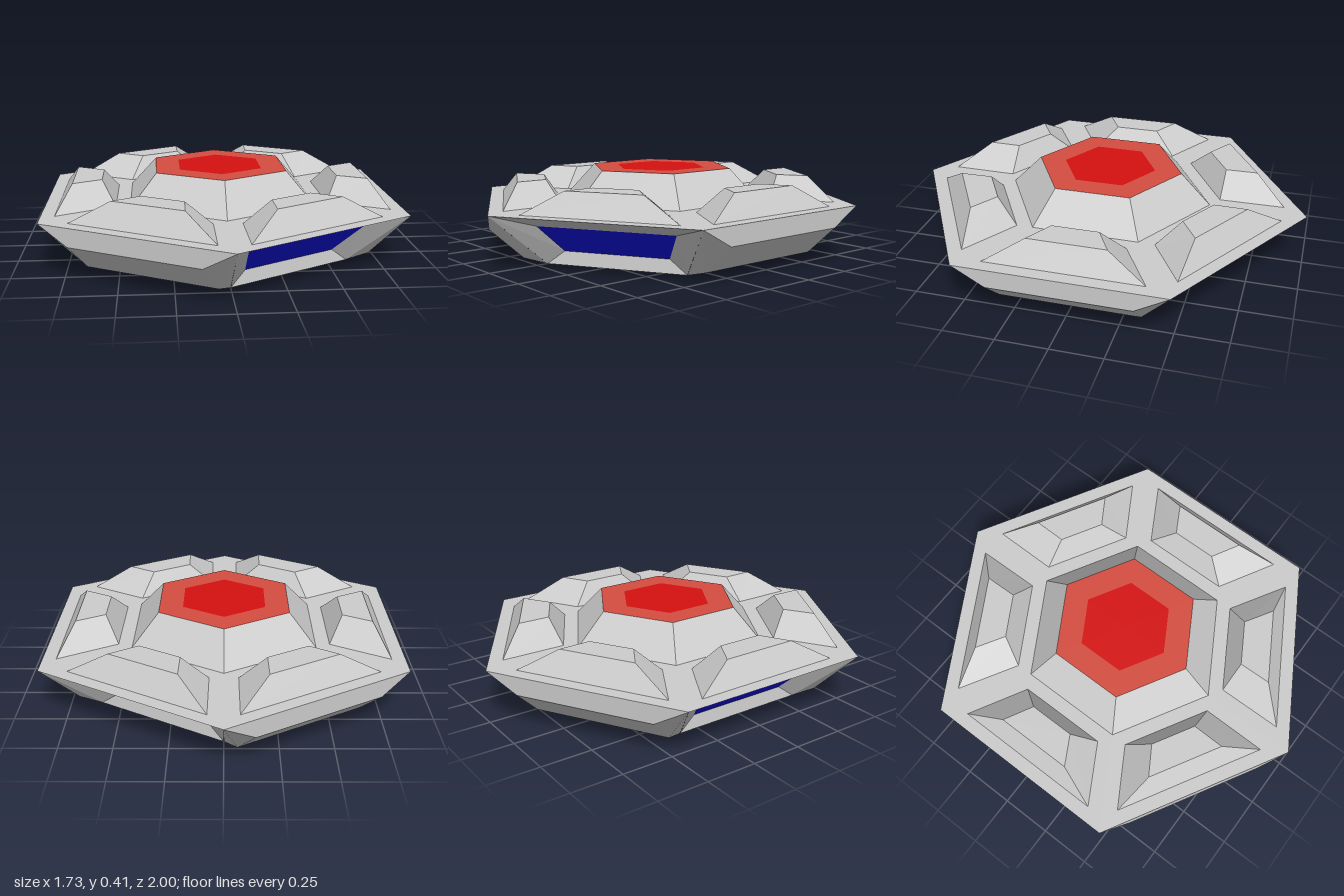
import * as THREE from 'three';

const makeMaterial = (color) => new THREE.MeshStandardMaterial({ color, flatShading: true });

// Flat-shaded geometry from convex polygons, each a counter-clockwise list of points
function polygons(faces) {
  const pos = [];
  for (const f of faces)
    for (let i = 1; i < f.length - 1; i++) pos.push(...f[0], ...f[i], ...f[i + 1]);
  const geo = new THREE.BufferGeometry();
  geo.setAttribute('position', new THREE.Float32BufferAttribute(pos, 3));
  geo.computeVertexNormals();
  return geo;
}

// Quads joining two loops of equal length
const bridge = (a, b) => a.map((p, i) => {
  const j = (i + 1) % a.length;
  return [p, a[j], b[j], b[i]];
});

// Four corners of a side panel: x points outward, z runs along the side
const panel = (dLow, yLow, tLow, dHigh, yHigh, tHigh) => [
  [dLow, yLow, tLow], [dLow, yLow, -tLow], [dHigh, yHigh, -tHigh], [dHigh, yHigh, tHigh],
];

export function createModel() {
  const model = new THREE.Group();
  const grey = makeMaterial(0xcccccc);
  const blue = makeMaterial(0x1010e0);
  const red = makeMaterial(0xd51010);
  const paleRed = makeMaterial(0xd54d40);

  const add = (name, geo, mat, parent = model) => {
    const mesh = new THREE.Mesh(geo, mat);
    mesh.name = name;
    parent.add(mesh);
    return mesh;
  };

  const RIM_Y = 0.26, PAD_Y = 0.37, TOP_Y = 0.415;
  const flatHex = (geo, y, up = 1) => geo.rotateX(-up * Math.PI / 2).translate(0, y, 0);
  const START = Math.PI / 6, FULL = Math.PI * 2;

  // Hexagonal deck and underside, with corners on the z axis
  add('deck', flatHex(new THREE.CircleGeometry(1, 6, START, FULL), RIM_Y), grey);
  add('underside', flatHex(new THREE.CircleGeometry(0.693, 6, START, FULL), 0, -1), grey);

  // Central raised hexagon with its red cap
  const h = TOP_Y - RIM_Y;
  add('centreHub', new THREE.CylinderGeometry(0.37, 0.52, h, 6, 1, true)
    .translate(0, RIM_Y + h / 2, 0), grey);
  add('capRing', flatHex(new THREE.RingGeometry(0.235, 0.37, 6, 1, START, FULL), TOP_Y), paleRed);
  add('capCentre', flatHex(new THREE.CircleGeometry(0.235, 6, START, FULL), TOP_Y), red);

  // Shared side outline, from the bottom edge up to the rim
  const outline = panel(0.6, 0, 0.346, 0.866, RIM_Y, 0.5);
  const [bl, br, tr, tl] = outline;

  // Window side: inset frame around a sloping blue pane
  const pane = panel(0.59, 0.065, 0.26, 0.72, 0.2, 0.336);
  const frameGeo = polygons(bridge(outline, pane));
  const paneGeo = polygons([pane]);

  // Armoured side: vertical upper band, sloping plate and lower lip
  const [l1, r1, r2, l2] = panel(0.71, 0.03, 0.34, 0.866, 0.17, 0.34);
  const armourGeo = polygons([
    [bl, br, r1, l1], [l1, r1, r2, l2], [l2, r2, tr, tl],
    [tl, bl, l1, l2], [tr, r2, r1, br],
  ]);

  // Tapered trapezoid pad on the deck
  const padBase = panel(0.8, RIM_Y, 0.38, 0.52, RIM_Y, 0.222);
  const padTop = panel(0.73, PAD_Y, 0.19, 0.59, PAD_Y, 0.113);
  const padGeo = polygons([...bridge(padBase, padTop), padTop]);

  // Six sides, alternating armour and window
  for (let i = 0; i < 6; i++) {
    const side = new THREE.Group();
    side.name = 'side' + (i + 1);
    side.rotation.y = i * Math.PI / 3;
    add('deckPad', padGeo, grey, side);
    if (i % 2 === 0) {
      add('sideArmour', armourGeo, grey, side);
    } else {
      add('windowFrame', frameGeo, grey, side);
      add('windowPane', paneGeo, blue, side);
    }
    model.add(side);
  }
  return model;
}
